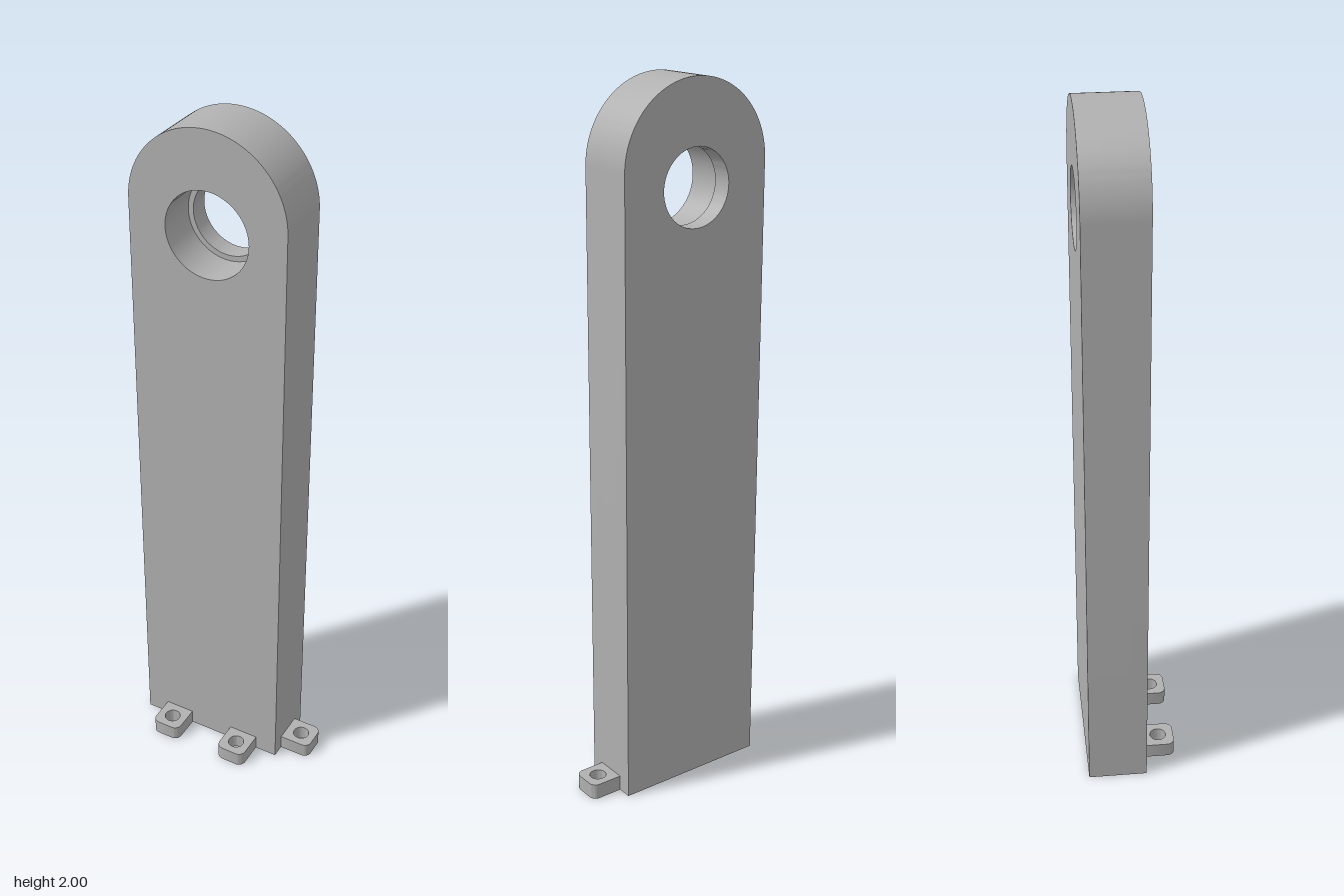
import * as THREE from 'three';
import { toCreasedNormals } from 'three/addons/utils/BufferGeometryUtils.js';

const CX = -0.0465;            // centre line of the upright
const HALF = 0.2265;           // half width, also the radius of the rounded top
const BACK = -0.133, DEPTH = 0.171;
const HOLE_Y = 1.72, BORE = 0.105, COUNTERBORE = 0.12, STEP = 0.056;

function circleHole(x, y, r) {
  return new THREE.Path().absarc(x, y, r, 0, Math.PI * 2, true);
}

// Upright plate with a round top and a stepped bore, wider at the front
function uprightGeometry() {
  const shape = new THREE.Shape();
  shape.moveTo(-HALF, 0);
  shape.lineTo(HALF, 0);
  shape.lineTo(HALF, 2 - HALF);
  shape.absarc(0, 2 - HALF, HALF, 0, Math.PI, false);
  shape.lineTo(-HALF, 0);
  shape.holes.push(circleHole(0, HOLE_Y, BORE));
  const geo = new THREE.ExtrudeGeometry(shape, {
    depth: DEPTH, steps: 3, bevelEnabled: false, curveSegments: 32,
  });

  // Bring the two middle rings of the bore together as a ledge and widen the front
  const p = geo.attributes.position;
  const scale = COUNTERBORE / BORE;
  for (let i = 0; i < p.count; i++) {
    const x = p.getX(i), y = p.getY(i) - HOLE_Y;
    if (Math.hypot(x, y) > BORE + 0.005) continue;
    const layer = Math.round(p.getZ(i) / DEPTH * 3);
    if (layer === 1 || layer === 2) p.setZ(i, STEP);
    if (layer >= 2) p.setXY(i, x * scale, HOLE_Y + y * scale);
  }
  geo.computeVertexNormals();
  return toCreasedNormals(geo, 0.6);
}

// Mounting tab: flat at the plate, rounded outer corners, screw hole
function tabGeometry() {
  const w = 0.045, len = 0.092, r = 0.022;
  const shape = new THREE.Shape();
  shape.moveTo(-w, 0);
  shape.lineTo(w, 0);
  shape.lineTo(w, len - r);
  shape.absarc(w - r, len - r, r, 0, Math.PI / 2, false);
  shape.absarc(-w + r, len - r, r, Math.PI / 2, Math.PI, false);
  shape.lineTo(-w, 0);
  shape.holes.push(circleHole(0, 0.046, 0.0235));
  const geo = new THREE.ExtrudeGeometry(shape, {
    depth: 0.045, bevelEnabled: false, curveSegments: 16,
  });
  // Lay flat, pointing towards +z
  geo.rotateX(Math.PI / 2);
  geo.translate(0, 0.045, 0);
  return toCreasedNormals(geo, 0.6);
}

export function createModel() {
  const group = new THREE.Group();
  group.name = 'mountingBracket';
  const grey = new THREE.MeshStandardMaterial({ color: 0xb0b0b0 });
  grey.name = 'grey';

  const upright = new THREE.Mesh(uprightGeometry(), grey);
  upright.name = 'upright';
  upright.position.set(CX, 0, BACK);
  group.add(upright);

  // Two tabs on the front, one on the left side
  const tabGeo = tabGeometry();
  const tabs = [
    ['frontTabRight', -0.16, BACK + DEPTH, 0],
    ['frontTabLeft', 0.068, BACK + DEPTH, 0],
    ['sideTab', CX + HALF, -0.047, Math.PI / 2],
  ];
  for (const [name, x, z, turn] of tabs) {
    const tab = new THREE.Mesh(tabGeo, grey);
    tab.name = name;
    tab.position.set(x, 0, z);
    tab.rotation.y = turn;
    group.add(tab);
  }
  return group;
}
